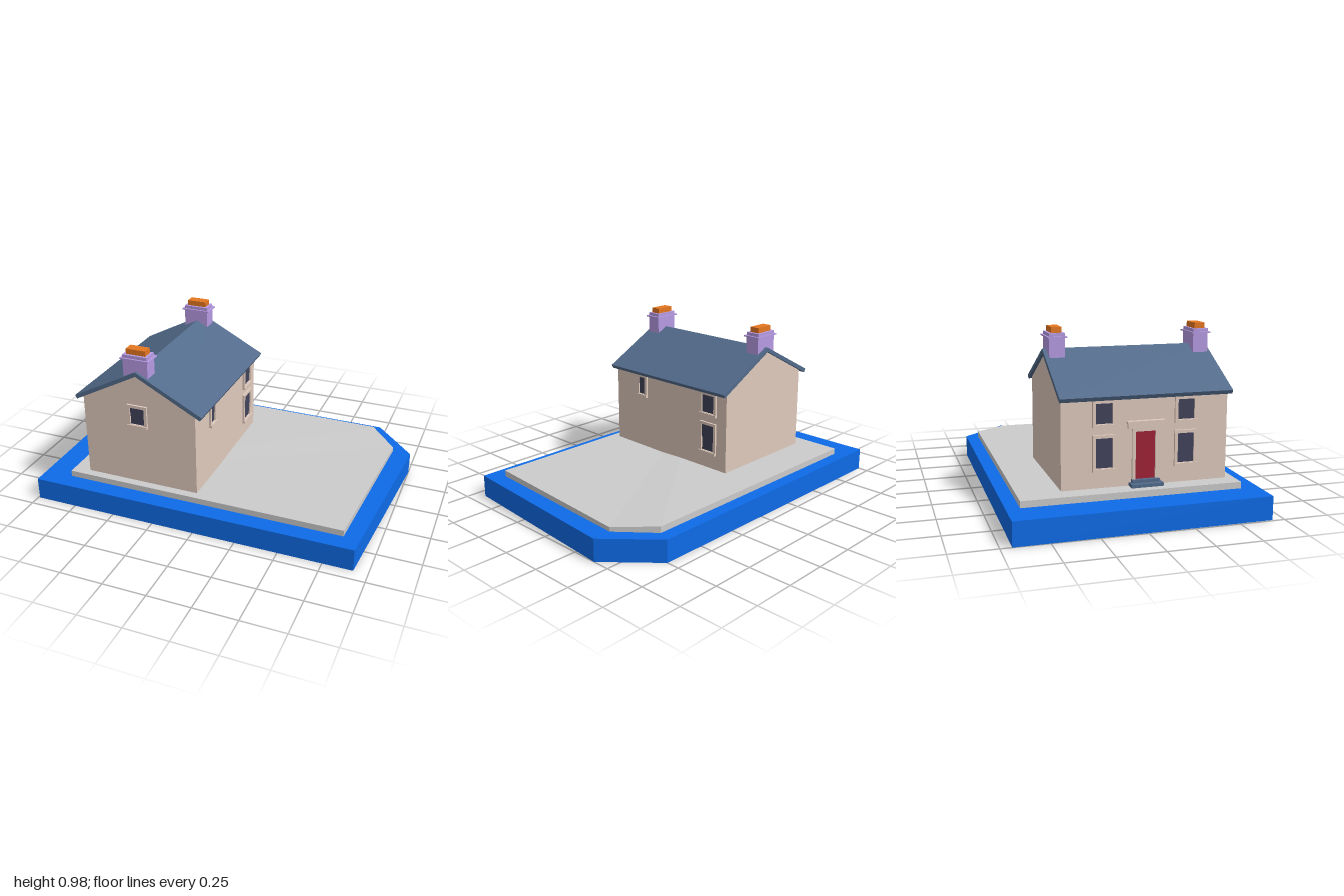
import * as THREE from 'three';

const mat = (color, extra = {}) => new THREE.MeshStandardMaterial({ color, ...extra });

export function createModel() {
  const model = new THREE.Group();
  const M = {
    base: mat(0x0e6be8, { side: THREE.DoubleSide }), paving: mat(0xcccccc), wall: mat(0xe0cabd),
    roof: mat(0x536b8b), chimney: mat(0xb79be4), pot: mat(0xe67820),
    glass: mat(0x41435a), door: mat(0xa02236),
  };
  const add = (parent, name, geometry, material) => {
    const mesh = new THREE.Mesh(geometry, material);
    mesh.name = name;
    parent.add(mesh);
    return mesh;
  };
  // Box given by its limits on each axis
  const box = (parent, name, material, x0, x1, y0, y1, z0, z1) => {
    const mesh = add(parent, name, new THREE.BoxGeometry(x1 - x0, y1 - y0, z1 - z0), material);
    mesh.position.set((x0 + x1) / 2, (y0 + y1) / 2, (z0 + z1) / 2);
    return mesh;
  };
  const shapeOf = pts => new THREE.Shape(pts.map(p => new THREE.Vector2(p[0], p[1])));
  const extrude = (shape, depth) => new THREE.ExtrudeGeometry(shape, { depth, bevelEnabled: false });
  const plan = pts => shapeOf(pts.map(([x, z]) => [x, -z]));

  // Base: a tray open underneath, outline in x and z
  const outline = [[-0.99, 0.685], [0.92, 0.68], [1, -0.4], [0.75, -0.675], [-1, -0.69]];
  const baseH = 0.13;
  const top = new THREE.ShapeGeometry(plan(outline)).rotateX(-Math.PI / 2).translate(0, baseH, 0);
  add(model, 'baseTop', top, M.base);
  const sides = [];
  outline.forEach(([ax, az], i) => {
    const [bx, bz] = outline[(i + 1) % outline.length];
    sides.push(ax, 0, az, bx, 0, bz, bx, baseH, bz, ax, 0, az, bx, baseH, bz, ax, baseH, az);
  });
  const sideGeo = new THREE.BufferGeometry();
  sideGeo.setAttribute('position', new THREE.Float32BufferAttribute(sides, 3));
  sideGeo.computeVertexNormals();
  add(model, 'baseSides', sideGeo, M.base);

  // Paving slab, dipping a little at its far corner
  const slab = extrude(plan([[-0.82, 0.582], [0.835, 0.582], [0.892, -0.4], [0.72, -0.6], [-0.82, -0.615]]), 0.036);
  slab.rotateX(-Math.PI / 2).translate(0, baseH, 0);
  const p = slab.attributes.position;
  for (let i = 0; i < p.count; i++) if (p.getX(i) > 0.88 && p.getY(i) > 0.15) p.setY(i, 0.155);
  slab.computeVertexNormals();
  add(model, 'paving', slab, M.paving);

  // House body and roof
  const ground = 0.16, ridgeX = -0.378;
  const house = new THREE.Group();
  house.name = 'house';
  model.add(house);
  const body = shapeOf([[-0.72, ground], [-0.032, ground], [-0.032, 0.652], [ridgeX, 0.836], [-0.72, 0.655]]);
  add(house, 'walls', extrude(body, 0.915).translate(0, 0, -0.382), M.wall);
  const roof = shapeOf([[-0.758, 0.636], [ridgeX, 0.836], [0.001, 0.636], [0.012, 0.657], [ridgeX, 0.861], [-0.769, 0.657]]);
  add(house, 'roof', extrude(roof, 0.94).translate(0, 0, -0.397), M.roof);

  // Chimneys
  for (const z of [0.483, -0.333]) {
    const chimney = new THREE.Group();
    chimney.name = 'chimney';
    chimney.position.set(-0.384, 0, z);
    house.add(chimney);
    box(chimney, 'chimneyStack', M.chimney, -0.074, 0.074, 0.77, 0.95, -0.043, 0.043);
    box(chimney, 'chimneyBand', M.chimney, -0.087, 0.087, 0.924, 0.932, -0.053, 0.053);
    box(chimney, 'chimneyPot', M.pot, -0.058, 0.058, 0.945, 0.981, -0.029, 0.029);
  }

  // A wall's frame of reference: local x runs along the wall, local z points outwards
  const onWall = (name, x, y, z, turn) => {
    const g = new THREE.Group();
    g.name = name;
    g.position.set(x, y, z);
    g.rotation.y = turn;
    house.add(g);
    return g;
  };
  const surround = (w, h, rim, bottom) => {
    const frame = shapeOf([[-w / 2, 0], [w / 2, 0], [w / 2, h], [-w / 2, h]]);
    const a = w / 2 - rim;
    frame.holes.push(new THREE.Path([[-a, bottom], [-a, h - rim], [a, h - rim], [a, bottom]].map(q => new THREE.Vector2(...q))));
    return extrude(frame, 0.012);
  };
  const addWindow = (x, y, z, turn, w, h) => {
    const g = onWall('window', x, y, z, turn);
    add(g, 'windowSurround', surround(w, h, 0.017, 0.018), M.wall);
    box(g, 'windowSill', M.wall, -w / 2 - 0.001, w / 2 + 0.001, 0, 0.016, -0.005, 0.018);
    const a = w / 2 - 0.016;
    box(g, 'lowerSash', M.glass, -a, a, 0.016, h / 2, -0.005, 0.002);
    box(g, 'upperSash', M.glass, -a, a, h / 2, h - 0.016, -0.005, 0.005);
  };
  const Q = Math.PI / 2, upper = 0.49, lower = 0.255, upperH = 0.143, lowerH = 0.195;
  // Yard side
  addWindow(-0.032, upper, 0.302, Q, 0.085, upperH);
  addWindow(-0.032, upper, -0.246, Q, 0.125, upperH);
  addWindow(-0.032, lower, -0.246, Q, 0.125, lowerH);
  // Gable
  addWindow(-0.381, 0.52, 0.533, 0, 0.12, 0.138);
  // Door side
  const doorZ = 0.072;
  for (const s of [-1, 1]) {
    addWindow(-0.72, upper, doorZ + s * 0.225, -Q, 0.125, upperH);
    addWindow(-0.72, lower, doorZ + s * 0.225, -Q, 0.125, lowerH);
  }

  // Front door with hood and two steps
  const entry = onWall('entrance', -0.72, ground, doorZ, -Q);
  add(entry, 'doorSurround', surround(0.145, 0.315, 0.018, 0.02), M.wall);
  box(entry, 'door', M.door, -0.056, 0.056, 0.015, 0.3, -0.005, 0.004);
  box(entry, 'doorHood', M.wall, -0.098, 0.098, 0.315, 0.342, -0.005, 0.018);
  box(entry, 'doorHoodCap', M.wall, -0.104, 0.104, 0.342, 0.355, -0.005, 0.025);
  box(entry, 'lowerStep', M.roof, -0.088, 0.088, 0, 0.024, -0.005, 0.053);
  box(entry, 'upperStep', M.roof, -0.075, 0.075, 0.024, 0.041, -0.005, 0.027);

  return model;
}
